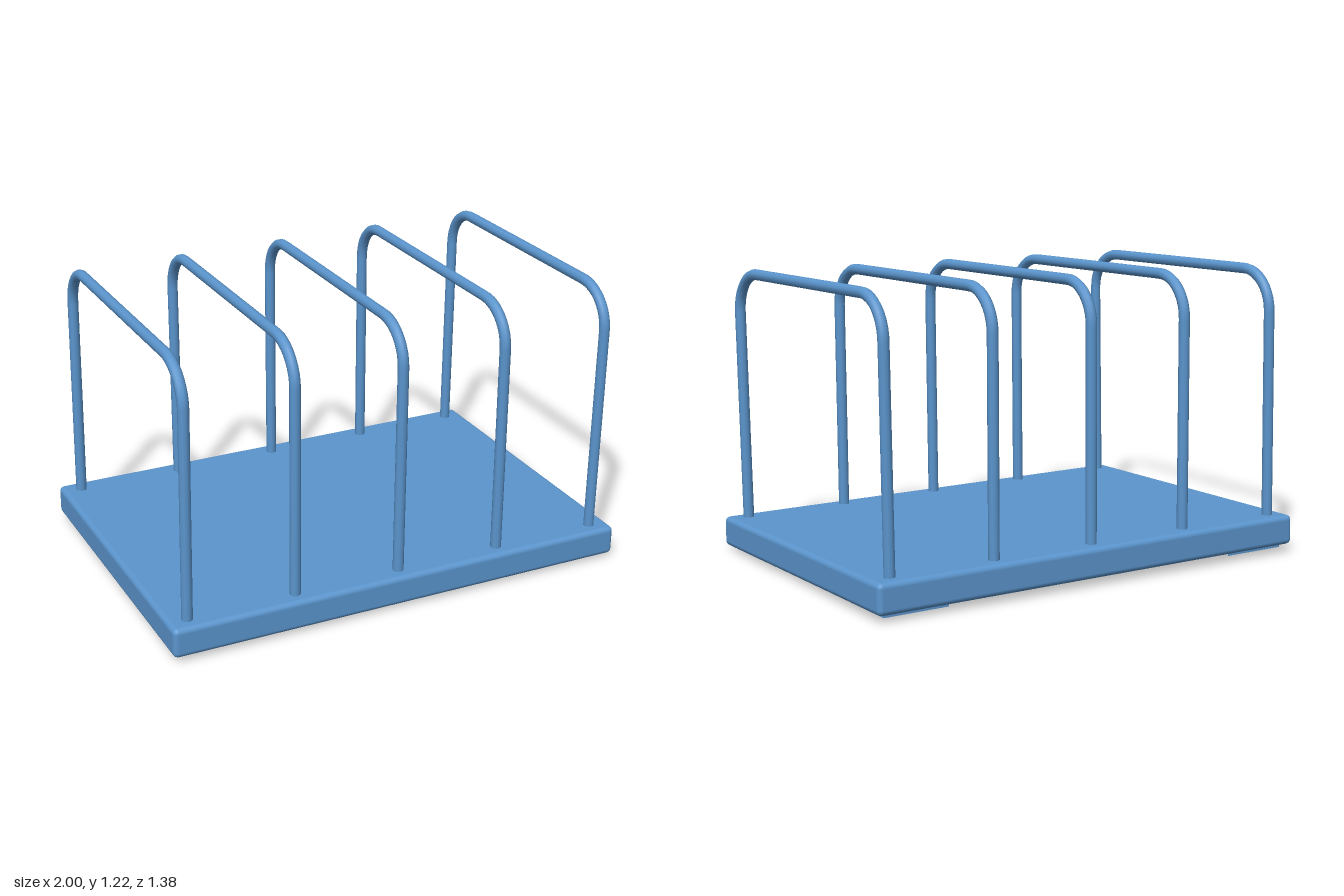
import * as THREE from 'three';
import { RoundedBoxGeometry } from 'three/addons/geometries/RoundedBoxGeometry.js';

const blue = new THREE.MeshStandardMaterial({ color: 0x5b95cd });
blue.name = 'blue';

// Bent rod: two legs, two rounded corners, one straight top bar
function hoopGeometry(footX, topX) {
  const path = new THREE.CurvePath();
  const v = (x, y, z) => new THREE.Vector3(x, y, z);
  const frontFoot = v(footX, 0.09, 0.622), frontBend = v(topX, 1.03, 0.63);
  const frontTop = v(topX, 1.193, 0.46), backTop = v(topX, 1.2, -0.45);
  const backBend = v(topX, 1.03, -0.612), backFoot = v(footX, 0.09, -0.615);
  const corner = (a, c, b) => {
    const k = 0.55;
    return new THREE.CubicBezierCurve3(a, a.clone().lerp(c, k), b.clone().lerp(c, k), b);
  };
  path.add(new THREE.LineCurve3(frontFoot, frontBend));
  path.add(corner(frontBend, v(topX, 1.193, 0.63), frontTop));
  path.add(new THREE.LineCurve3(frontTop, backTop));
  path.add(corner(backTop, v(topX, 1.2, -0.612), backBend));
  path.add(new THREE.LineCurve3(backBend, backFoot));
  return new THREE.TubeGeometry(path, 120, 0.0225, 10, false);
}

export function createModel() {
  const model = new THREE.Group();
  model.name = 'rack';
  const add = (geometry, name, parent = model) => {
    const mesh = new THREE.Mesh(geometry, blue);
    mesh.name = name;
    parent.add(mesh);
    return mesh;
  };

  // Base slab, resting with a very slight lean
  const base = new THREE.Group();
  base.name = 'base';
  base.position.y = 0.09;
  base.rotation.set(0.009, 0, -0.005);
  model.add(base);
  add(new RoundedBoxGeometry(2, 0.126, 1.376, 3, 0.022), 'baseSlab', base);

  // Thin triangular pads under the four corners
  const pad = new THREE.Shape([
    new THREE.Vector2(0, 0), new THREE.Vector2(0.28, 0), new THREE.Vector2(0, 0.26),
  ]);
  for (const sx of [-1, 1]) {
    for (const sz of [-1, 1]) {
      const points = pad.getPoints().map(
        (p) => new THREE.Vector2(sx * (0.96 - p.x), sz * (0.65 - p.y)));
      const geometry = new THREE.ExtrudeGeometry(new THREE.Shape(points), { depth: 0.02, bevelEnabled: false });
      geometry.rotateX(Math.PI / 2);
      add(geometry, 'cornerPad', base).position.y = -0.058;
    }
  }

  // Five upright hoops, the outer ones leaning slightly
  const hoops = [[-0.92, -0.907], [-0.462, -0.458], [-0.003, 0.002], [0.455, 0.458], [0.913, 0.926]];
  for (const [footX, topX] of hoops) add(hoopGeometry(footX, topX), 'hoop');

  return model;
}
